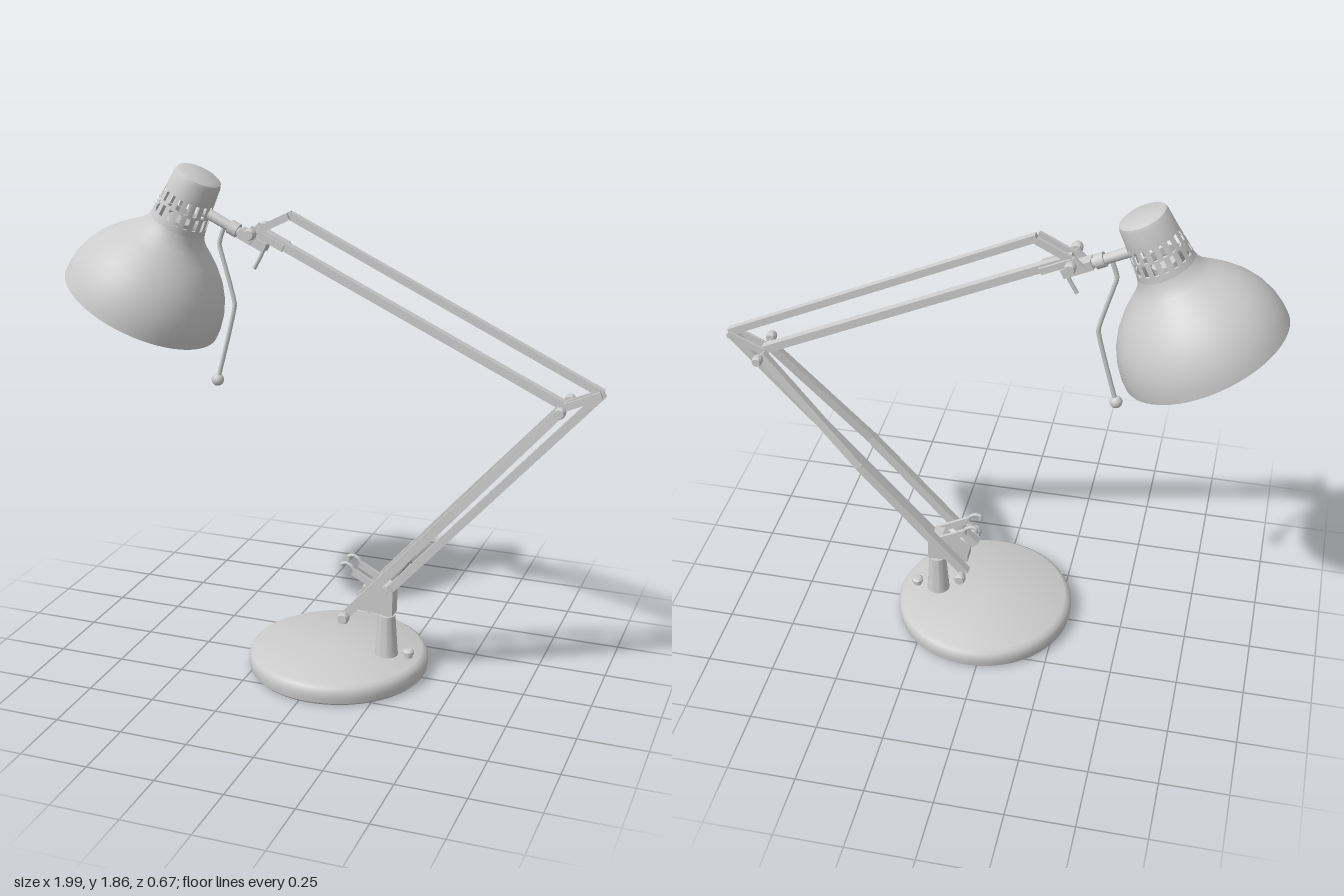
import * as THREE from 'three';
import { toCreasedNormals } from 'three/addons/utils/BufferGeometryUtils.js';

const material = new THREE.MeshStandardMaterial({ color: 0xcccccc, side: THREE.DoubleSide });
const v3 = (x, y, z = 0) => new THREE.Vector3(x, y, z);

function add(parent, name, geometry, x = 0, y = 0, z = 0) {
  const mesh = new THREE.Mesh(geometry, material);
  mesh.name = name;
  mesh.position.set(x, y, z);
  parent.add(mesh);
  return mesh;
}

function lathe(points, segments = 48) {
  const profile = points.map(([r, y]) => new THREE.Vector2(r, y));
  return toCreasedNormals(new THREE.LatheGeometry(profile, segments), 0.6);
}

// Member between two points: square bar, or round rod when a radius is given
function along(parent, name, a, b, geometryOfLength) {
  const dir = b.clone().sub(a);
  const mesh = add(parent, name, geometryOfLength(dir.length()));
  mesh.position.copy(a).add(b).multiplyScalar(0.5);
  // Keep one side of the section aligned with z
  const yAxis = dir.normalize();
  const xAxis = yAxis.clone().cross(v3(0, 0, 1)).normalize();
  mesh.quaternion.setFromRotationMatrix(
    new THREE.Matrix4().makeBasis(xAxis, yAxis, xAxis.clone().cross(yAxis)));
  return mesh;
}
const bar = (p, name, a, b, w = 0.03, d = w) => along(p, name, a, b, l => new THREE.BoxGeometry(w, l, d));
const rod = (p, name, a, b, r, r2 = r) => along(p, name, a, b, l => new THREE.CylinderGeometry(r2, r, l, 20));

// Cross pin along z, with optional end knobs
function pin(parent, name, x, y, half, r = 0.01, knob = 0) {
  rod(parent, name, v3(x, y, -half), v3(x, y, half), r);
  if (!knob) return;
  for (const s of [-1, 1]) {
    const cap = add(parent, name + 'Knob', lathe([[0, 0], [knob * 0.8, 0], [knob, 0.01], [knob, 0.027], [knob * 0.8, 0.036], [0, 0.036]], 20), x, y, s * (half - 0.03));
    cap.rotation.x = s * Math.PI / 2;
  }
}

function wire(parent, name, points, r) {
  const path = new THREE.CatmullRomCurve3(points, false, 'catmullrom', 0.15);
  return add(parent, name, new THREE.TubeGeometry(path, 48, r, 10));
}

function buildStand(lamp) {
  add(lamp, 'base', lathe([[0, 0], [0.325, 0], [0.333, 0.008], [0.337, 0.03], [0.336, 0.05], [0.328, 0.066], [0.312, 0.075], [0, 0.078]], 64), 0.037, 0, 0);
  add(lamp, 'post', lathe([[0.045, 0.07], [0.042, 0.09], [0.032, 0.235], [0, 0.235]], 28), 0.225, 0, 0);
  add(lamp, 'spindle', new THREE.CylinderGeometry(0.02, 0.02, 0.06, 16), 0.225, 0.25, 0);
  add(lamp, 'switchButton', lathe([[0.016, 0.07], [0.016, 0.088], [0.022, 0.09], [0.022, 0.1], [0.015, 0.106], [0, 0.107]], 20), 0.31, 0, 0);

  // Bracket on top of the post
  const outline = [[0.1, 0.25], [0.255, 0.243], [0.255, 0.34], [0.235, 0.36], [0.2, 0.355], [0.1, 0.28]];
  const shape = new THREE.Shape(outline.map(([x, y]) => new THREE.Vector2(x, y)));
  add(lamp, 'bracket', new THREE.ExtrudeGeometry(shape, { depth: 0.06, bevelEnabled: false }), 0, 0, -0.03);

  // Spring hooks
  for (const s of [-1, 1]) {
    const z = s * 0.038;
    bar(lamp, 'hookLever', v3(0.235, 0.335, z), v3(0.105, 0.405, z), 0.026, 0.012);
    wire(lamp, 'springHook', [v3(0.12, 0.395, z), v3(0.1, 0.425, z), v3(0.08, 0.435, z), v3(0.062, 0.43, z), v3(0.062, 0.412, z)], 0.007);
  }
  pin(lamp, 'hookPin', 0.115, 0.4, 0.05, 0.009);
}

function buildArms(lamp) {
  const foot = v3(0.104, 0.262), footBack = v3(0.232, 0.333);
  const elbow = v3(0.852, 1.114), elbowBack = v3(0.978, 1.172);
  const wrist = v3(-0.27, 1.637), wristTop = v3(-0.145, 1.7);

  // Lower arm: two outer bars that bend inward, and one centre bar
  const bend = foot.clone().lerp(elbow, 0.52);
  for (const s of [-1, 1]) {
    const at = (p, z) => v3(p.x, p.y, s * z);
    bar(lamp, 'lowerArmSide', at(foot.clone().lerp(elbow, -0.015), 0.085), at(bend, 0.085), 0.034, 0.03);
    bar(lamp, 'lowerArmTaper', at(bend, 0.085), at(elbow, 0.038), 0.034, 0.026);
  }
  bar(lamp, 'lowerArmCentre', footBack, elbowBack, 0.03, 0.032);

  // Upper arm: parallel pair with a short link at the lamp end
  bar(lamp, 'upperArmLower', elbow, wrist, 0.03, 0.03);
  bar(lamp, 'upperArmUpper', elbowBack, wristTop, 0.027, 0.025);
  for (const s of [-1, 1]) {
    const z = s * 0.021;
    bar(lamp, 'wristLink', v3(wrist.x, wrist.y, z), v3(wristTop.x, wristTop.y, z), 0.026, 0.012);
    bar(lamp, 'elbowLink', v3(elbow.x, elbow.y, z), v3(elbowBack.x, elbowBack.y, z), 0.026, 0.01);
  }

  pin(lamp, 'footPin', foot.x, foot.y, 0.15, 0.011, 0.021);
  pin(lamp, 'footBackPin', footBack.x, footBack.y, 0.095, 0.014);
  pin(lamp, 'spreaderPin', bend.x, bend.y, 0.1, 0.011);
  pin(lamp, 'elbowPin', elbow.x, elbow.y, 0.092, 0.011, 0.019);
  pin(lamp, 'elbowBackPin', elbowBack.x, elbowBack.y, 0.045, 0.018);
  pin(lamp, 'wristPin', wrist.x, wrist.y, 0.08, 0.012, 0.02);
  pin(lamp, 'wristTopPin', wristTop.x, wristTop.y, 0.045, 0.018);
  pin(lamp, 'springPin', 0.473, 1.29, 0.045, 0.012);
  pin(lamp, 'springPin', 0.868, 1.222, 0.045, 0.012);
  pin(lamp, 'springPin', -0.162, 1.587, 0.05, 0.012);
}

function buildHead(lamp) {
  // Shade, cap and bulb stand on a tilted axis through the rim centre
  const head = new THREE.Group();
  head.name = 'lampHead';
  head.position.set(-0.731, 1.335, 0);
  head.rotation.z = -0.462;
  lamp.add(head);

  const profile = [[0.3, 0], [0.299, 0.035], [0.291, 0.08], [0.273, 0.13], [0.245, 0.178], [0.208, 0.222], [0.168, 0.26], [0.132, 0.292], [0.112, 0.318], [0.104, 0.345]];
  const inner = profile.map(([r, y]) => [r - 0.008, y]).reverse();
  add(head, 'shade', lathe([...inner, ...profile], 64));

  // Vented cap: two staggered rows of ribs between solid rings
  const capRadius = y => 0.104 - (y - 0.345) * 0.1;
  const ring = (y0, y1) => [[capRadius(y0) - 0.008, y0], [capRadius(y0), y0], [capRadius(y1), y1], [capRadius(y1) - 0.008, y1], [capRadius(y0) - 0.008, y0]];
  add(head, 'capLowerRing', lathe(ring(0.34, 0.368)));
  add(head, 'capMiddleRing', lathe(ring(0.411, 0.418)));
  add(head, 'capTop', lathe([[0.083, 0.461], [capRadius(0.461), 0.461], [0.088, 0.525], [0.083, 0.54], [0.07, 0.547], [0, 0.549]]));
  const count = 18;
  [[0.366, 0.413, 0], [0.416, 0.463, 0.5]].forEach(([y0, y1, shift]) => {
    for (let i = 0; i < count; i++) {
      const start = (i + shift) * Math.PI * 2 / count;
      add(head, 'capRib', new THREE.CylinderGeometry(capRadius(y1), capRadius(y0), y1 - y0, 3, 1, true, start, 0.2), 0, (y0 + y1) / 2, 0);
    }
  });

  add(head, 'bulb', new THREE.SphereGeometry(0.11, 40, 28), 0, 0.042, 0);
  add(head, 'bulbSocket', lathe([[0.075, 0.12], [0.05, 0.17], [0.045, 0.2], [0.045, 0.36], [0, 0.36]], 28));

  // Neck and fork joining the cap to the arm
  rod(lamp, 'neck', v3(-0.48, 1.695), v3(-0.32, 1.617), 0.02, 0.017);
  rod(lamp, 'neckCollar', v3(-0.375, 1.645), v3(-0.345, 1.63), 0.026);
  bar(lamp, 'forkBlock', v3(-0.335, 1.627), v3(-0.235, 1.58), 0.034, 0.05);
  for (const s of [-1, 1]) {
    const z = s * 0.03;
    bar(lamp, 'forkCheek', v3(-0.305, 1.605, z), v3(-0.265, 1.645, z), 0.038, 0.01);
    bar(lamp, 'forkStrap', v3(-0.27, 1.637, z), v3(-0.162, 1.587, z), 0.024, 0.01);
  }
  wire(lamp, 'clampLever', [v3(-0.245, 1.58), v3(-0.26, 1.545), v3(-0.285, 1.5)], 0.007);

  // Bent aiming handle with a ball end
  wire(lamp, 'handle', [v3(-0.395, 1.65), v3(-0.418, 1.575), v3(-0.363, 1.36), v3(-0.433, 1.08)], 0.008);
  add(lamp, 'handleBall', new THREE.SphereGeometry(0.023, 20, 14), -0.436, 1.072, 0);
}

export function createModel() {
  const lamp = new THREE.Group();
  lamp.name = 'deskLamp';
  buildStand(lamp);
  buildArms(lamp);
  buildHead(lamp);
  return lamp;
}
